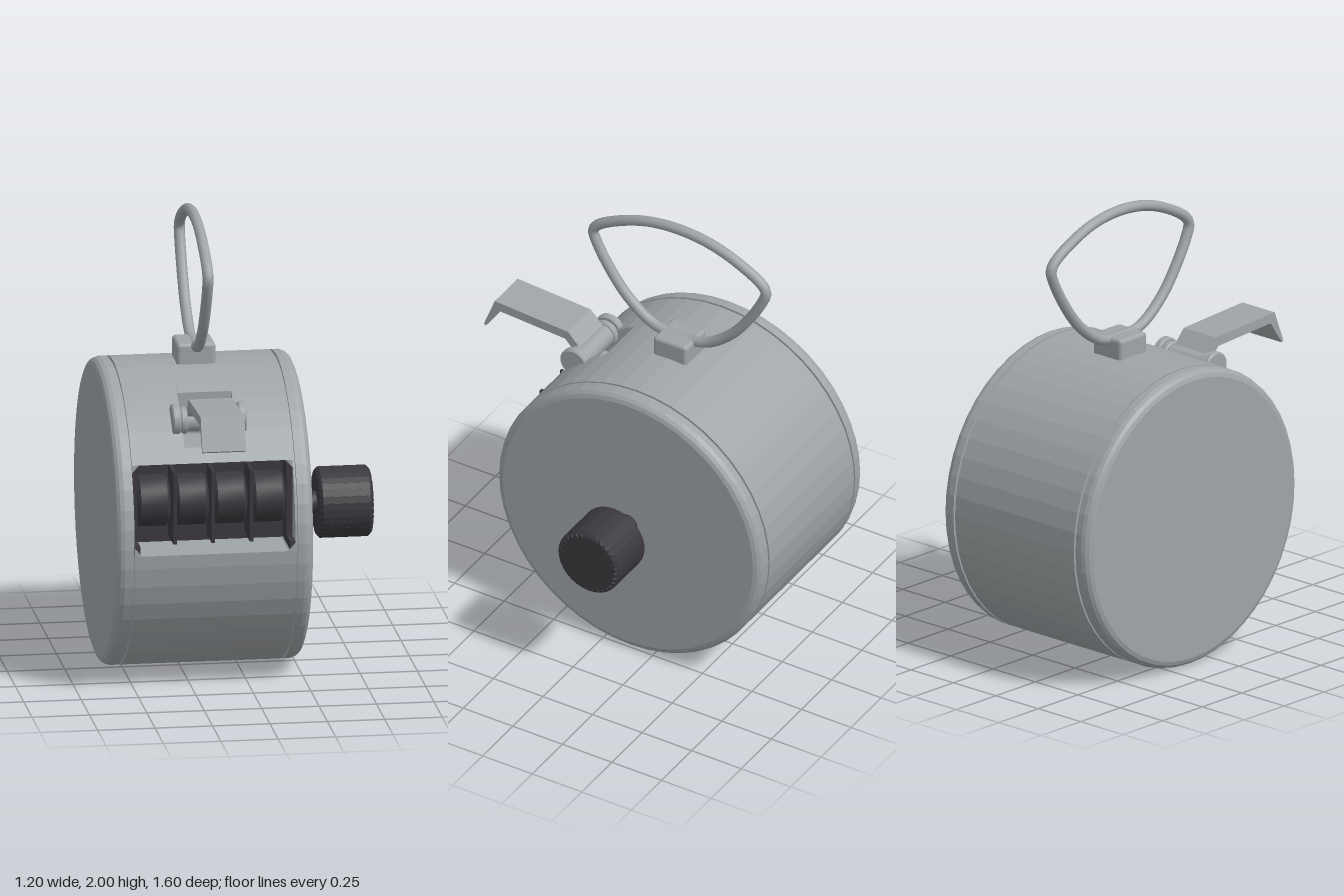
import * as THREE from 'three';
import { toCreasedNormals } from 'three/addons/utils/BufferGeometryUtils.js';
import { RoundedBoxGeometry } from 'three/addons/geometries/RoundedBoxGeometry.js';

const CY = 0.668, CZ = -0.13, R = 0.667; // drum axis and radius
const MID = -0.17; // middle of the drum along x
const SIDES = 48;

export function createModel() {
  const model = new THREE.Group();
  const steel = new THREE.MeshStandardMaterial({ color: 0x9fa4a7 });
  steel.name = 'brushed steel';
  const black = new THREE.MeshStandardMaterial({ color: 0x3a383d });
  black.name = 'black plastic';

  const add = (name, geometry, material, x = 0, y = 0, z = 0) => {
    const mesh = new THREE.Mesh(geometry, material);
    mesh.name = name;
    mesh.position.set(x, y, z);
    model.add(mesh);
    return mesh;
  };
  // Extrude a [z, y] outline along x, from x0 to x1
  const sideExtrude = (points, x0, x1) => {
    const shape = new THREE.Shape(points.map(([z, y]) => new THREE.Vector2(-z, y)));
    const geo = new THREE.ExtrudeGeometry(shape, { depth: x1 - x0, bevelEnabled: false });
    return geo.rotateY(Math.PI / 2).translate(x0, 0, 0);
  };
  const box = (name, mat, x0, x1, y0, y1, z0, z1) => add(name,
    new THREE.BoxGeometry(x1 - x0, y1 - y0, z1 - z0), mat, (x0 + x1) / 2, (y0 + y1) / 2, (z0 + z1) / 2);
  // Solid of revolution around x; profile is [radius, x], dir mirrors it
  const turned = (profile, dir, sides, crease) => {
    const geo = new THREE.LatheGeometry(profile.map(([r, x]) => new THREE.Vector2(r, x)), sides);
    return toCreasedNormals(geo.rotateZ(-dir * Math.PI / 2), crease);
  };

  // Drum cross-section with the listed notches cut out of the rim
  const rim = (a) => [CZ + R * Math.cos(a), CY + R * Math.sin(a)];
  const angleOf = (z, y) => Math.atan2(y - CY, z - CZ);
  const windowNotch = {
    from: Math.asin((0.64 - CY) / R), to: Math.asin((1.02 - CY) / R),
    floor: [[0.3, 0.64], [0.3, 1.02]],
  };
  const slotNotch = {
    from: angleOf(0.395, 1.08), to: angleOf(0.17, 1.264),
    floor: [[0.17, 1.08]],
  };
  const drumProfile = (notches) => {
    const points = [];
    let a = -Math.PI / 2;
    const step = (2 * Math.PI) / SIDES;
    const arcTo = (end) => {
      for (let i = Math.ceil(a / step + 0.01); i * step < end - 0.01; i++) points.push(rim(i * step));
    };
    points.push(rim(a));
    for (const n of notches) {
      arcTo(n.from);
      points.push(rim(n.from), ...n.floor, rim(n.to));
      a = n.to;
    }
    arcTo(1.5 * Math.PI);
    return points;
  };

  // Drum: three slices, the middle one slotted for the lever
  add('drumLeft', sideExtrude(drumProfile([windowNotch]), -0.05, 0.18), steel);
  add('drumMiddle', sideExtrude(drumProfile([windowNotch, slotNotch]), -0.285, -0.05), steel);
  add('drumRight', sideExtrude(drumProfile([windowNotch]), -0.52, -0.285), steel);

  // Rounded end caps with a narrow groove next to the drum
  const cap = [[0, 0], [R - 0.015, 0], [R - 0.015, 0.01], [R, 0.01], [R, 0.042],
    [R - 0.006, 0.06], [R - 0.018, 0.073], [R - 0.036, 0.08], [0, 0.08]];
  add('leftCap', turned(cap, 1, SIDES, 0.1), steel, 0.18, CY, CZ);
  add('rightCap', turned(cap, -1, SIDES, 0.1), steel, -0.52, CY, CZ);

  // Counter window: dark back, end plates and chamfered corners
  box('windowBack', black, -0.519, 0.179, 0.641, 1.019, 0.295, 0.305);
  for (const s of [-1, 1]) {
    const end = MID + s * 0.35;
    const inner = MID + s * 0.325;
    const x0 = Math.min(end, inner), x1 = Math.max(end, inner);
    box('windowEnd', black, x0, x1, 0.64, 1.0, 0.3, 0.425);
    box('windowSill', black, x0, x1, 0.64, 0.68, 0.42, 0.525);
    for (const [y, dy, front] of [[0.64, 0.035, 0.534], [1.02, -0.035, 0.436]]) {
      const corner = new THREE.Shape([[end, y], [end - s * 0.03, y], [end, y + dy]]
        .map((p) => new THREE.Vector2(...p)));
      add('windowCorner', new THREE.ExtrudeGeometry(corner, { depth: front - 0.3, bevelEnabled: false }),
        steel, 0, 0, 0.3);
    }
  }

  // Number wheels and the dividers between them
  const wheel = [[0, -0.07], [0.1, -0.07], [0.112, -0.058], [0.112, 0.058], [0.1, 0.07], [0, 0.07]];
  for (let i = 0; i < 4; i++) {
    const x = MID + (i - 1.5) * 0.167;
    add('numberWheel', turned(wheel, 1, 20, 0.5), black, x, 0.835, 0.33);
    if (i < 3) box('wheelDivider', black, x + 0.076, x + 0.091, 0.67, 0.99, 0.3, 0.47);
  }

  // Lever pivot: bar with a disc on each end
  const disc = (r, w) => turned([[0, -w / 2], [r - 0.006, -w / 2], [r, -w / 2 + 0.006],
    [r, w / 2 - 0.006], [r - 0.006, w / 2], [0, w / 2]], 1, 24, 0.5);
  add('pivotBar', disc(0.05, 0.27), steel, MID, 1.18, 0.31);
  for (const s of [-1, 1]) {
    add('pivotDisc', disc(0.068, 0.035), steel, MID + s * 0.143, 1.185, 0.31);
    add('pivotWasher', disc(0.06, 0.03), steel, MID + s * 0.11, 1.18, 0.31);
  }

  // Bent thumb lever
  add('lever', sideExtrude([[0.8, 1.17], [0.745, 1.312], [0.375, 1.29], [0.29, 1.2], [0.33, 1.15],
    [0.345, 1.2], [0.39, 1.248], [0.72, 1.268], [0.79, 1.163]], -0.265, -0.075), steel);

  // Finger loop and its lug
  add('loopLug', new RoundedBoxGeometry(0.17, 0.13, 0.17, 2, 0.018), steel, MID, 1.357, CZ);
  const half = [[0.13, 1.42], [0.26, 1.515], [0.36, 1.645], [0.425, 1.765], [0.436, 1.805],
    [0.415, 1.84], [0.3, 1.908], [0.16, 1.958]];
  const loop = [[0, 1.403], ...half, [0, 1.976], ...half.map(([z, y]) => [-z, y]).reverse()];
  const curve = new THREE.CatmullRomCurve3(
    loop.map(([z, y]) => new THREE.Vector3(MID, y, CZ + z)), true);
  add('fingerLoop', new THREE.TubeGeometry(curve, 96, 0.024, 10, true), steel);

  // Reset knob: shaft and knurled grip
  add('knobShaft', turned([[0.05, 0], [0.05, 0.13]], 1, 24, 0.5), black, 0.25, CY, CZ);
  const TEETH = 32;
  const grip = new THREE.Shape();
  for (let i = 0; i < TEETH; i++) {
    [[0, 0.13], [0.2, 0.14], [0.7, 0.14], [0.9, 0.13]].forEach(([t, r], k) => {
      const a = ((i + t) / TEETH) * 2 * Math.PI;
      grip[i + k ? 'lineTo' : 'moveTo'](r * Math.cos(a), r * Math.sin(a));
    });
  }
  const gripGeo = new THREE.ExtrudeGeometry(grip, {
    depth: 0.207, bevelThickness: 0.014, bevelSize: 0.014, bevelOffset: 0, bevelSegments: 1,
  });
  add('knobGrip', gripGeo.rotateY(Math.PI / 2), black, 0.374, CY, CZ);

  return model;
}
